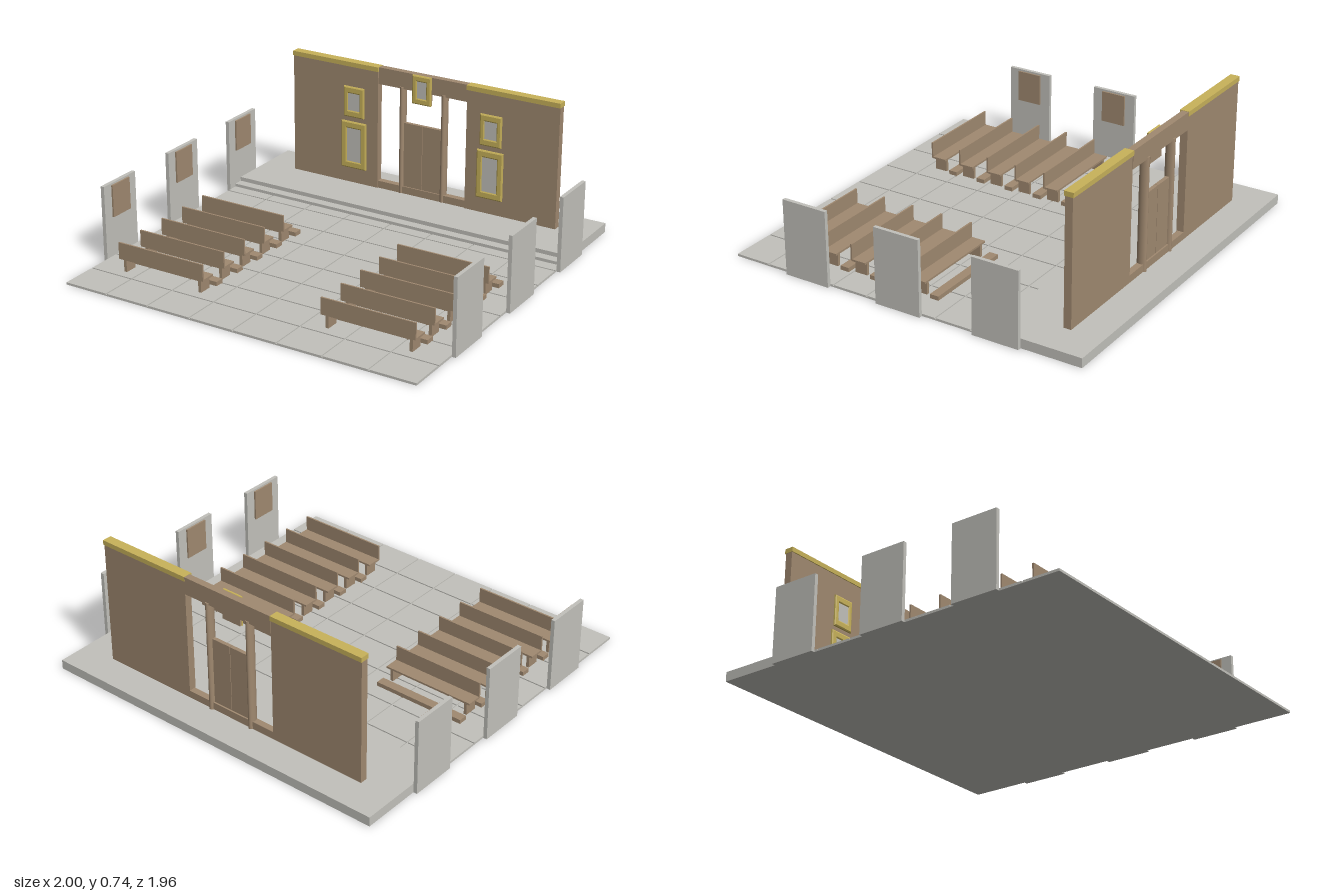
import * as THREE from 'three';

const stone = new THREE.MeshStandardMaterial({ color: 0xc2c1bb });
stone.name = 'pale stone';
const wood = new THREE.MeshStandardMaterial({ color: 0xa08970 });
wood.name = 'brown wood';
const gold = new THREE.MeshStandardMaterial({ color: 0xc8b25a });
gold.name = 'gold trim';

// Box given by its min and max corners
function box(parent, name, mat, x0, x1, y0, y1, z0, z1) {
  const mesh = new THREE.Mesh(new THREE.BoxGeometry(x1 - x0, y1 - y0, z1 - z0), mat);
  mesh.position.set((x0 + x1) / 2, (y0 + y1) / 2, (z0 + z1) / 2);
  mesh.name = name;
  parent.add(mesh);
  return mesh;
}

function group(parent, name) {
  const g = new THREE.Group();
  g.name = name;
  parent.add(g);
  return g;
}

function rectPath(Type, w, h) {
  const p = new Type();
  p.moveTo(-w / 2, -h / 2);
  p.lineTo(w / 2, -h / 2);
  p.lineTo(w / 2, h / 2);
  p.lineTo(-w / 2, h / 2);
  p.closePath();
  return p;
}

// Bevelled gold frame around a pale picture
function picture(parent, name, x, y, w, h, pw, ph, z) {
  const g = group(parent, name);
  const bevel = 0.006;
  const shape = rectPath(THREE.Shape, w - 2 * bevel, h - 2 * bevel);
  shape.holes.push(rectPath(THREE.Path, pw + 2 * bevel, ph + 2 * bevel));
  const geo = new THREE.ExtrudeGeometry(shape, {
    depth: 0.008, bevelEnabled: true, bevelThickness: 0.004, bevelSize: bevel, bevelSegments: 1,
  });
  const frame = new THREE.Mesh(geo, gold);
  frame.name = 'pictureFrame';
  g.add(frame);
  box(g, 'picturePanel', stone, -pw / 2 - 0.004, pw / 2 + 0.004, -ph / 2 - 0.004, ph / 2 + 0.004, 0, 0.008);
  g.position.set(x, y, z);
}

// Tiled floor, step and raised platform
function buildFloor(root) {
  const g = group(root, 'floor');
  box(g, 'floorSlab', stone, -0.98, 0.98, 0, 0.006, -0.5, 0.98);
  const px = 0.245, pz = 0.196, gap = 0.004;
  for (let i = 0; i < 8; i++) {
    for (let j = 0; j < 8; j++) {
      const x = -0.98 + i * px, z = 0.98 - j * pz;
      box(g, 'floorTile', stone, x + (i ? gap : 0), x + px - (i < 7 ? gap : 0), 0.006, 0.012,
        Math.max(z - pz + gap, -0.5), z - (j ? gap : 0));
    }
  }
  box(g, 'platformStep', stone, -0.98, 0.98, 0, 0.028, -0.52, -0.46);
  box(g, 'platform', stone, -0.98, 0.98, 0, 0.05, -0.98, -0.51);
}

// Bench with back board, two legs and a low kneeler in front
function bench(root, x, z) {
  const g = group(root, 'bench');
  const w = 0.2525;
  box(g, 'benchSeat', wood, -w, w, 0.078, 0.088, -0.04, 0.036);
  box(g, 'benchBack', wood, -w, w, 0.08, 0.168, 0.036, 0.045);
  for (const s of [-1, 1]) {
    box(g, 'benchLeg', wood, s * 0.224 - 0.008, s * 0.224 + 0.008, 0.006, 0.078, -0.035, 0.034);
  }
  box(g, 'kneeler', wood, -w, w, 0.008, 0.034, -0.114, -0.066);
  g.position.set(x, 0, z);
}

// Free-standing side wall with a framed wooden plaque on its inner face
function sidePanel(root, s, z) {
  const g = group(root, 'sidePanel');
  box(g, 'sideWall', stone, -0.01, 0.01, 0, 0.4, -0.125, 0.125);
  const plaque = group(g, 'wallPlaque');
  const xa = -s * 0.0145;
  box(plaque, 'plaqueBoard', wood, xa - 0.0045, xa + 0.0045, 0.22, 0.39, -0.068, 0.068);
  g.position.set(s * 0.99, 0, z);
}

// Screen wall with side openings, double door and pictures
function buildScreen(root) {
  const g = group(root, 'screen');
  for (const s of [-1, 1]) {
    const c = s * 0.53;
    box(g, 'screenWall', wood, c - 0.264, c + 0.264, 0.05, 0.712, -0.81, -0.77);
    box(g, 'screenCap', gold, c - 0.266, c + 0.266, 0.71, 0.735, -0.815, -0.765);
    box(g, 'doorLeaf', wood, s * 0.057 - 0.0555, s * 0.057 + 0.0555, 0.05, 0.45, -0.802, -0.782);

    const column = new THREE.Mesh(new THREE.CylinderGeometry(0.016, 0.016, 0.6, 20), wood);
    column.scale.z = 1.6;
    column.position.set(s * 0.125, 0.35, -0.795);
    column.name = 'doorColumn';
    g.add(column);

    picture(g, 'largePicture', s * 0.411, 0.268, 0.152, 0.265, 0.086, 0.19, -0.77);
    picture(g, 'smallPicture', s * 0.411, 0.513, 0.124, 0.17, 0.07, 0.097, -0.77);
  }
  box(g, 'screenSill', wood, -0.268, 0.268, 0.05, 0.09, -0.81, -0.775);
  box(g, 'screenLintel', wood, -0.268, 0.268, 0.64, 0.733, -0.813, -0.777);
  box(g, 'pictureBacking', wood, -0.054, 0.054, 0.578, 0.64, -0.785, -0.774);
  picture(g, 'centrePicture', 0, 0.655, 0.112, 0.158, 0.055, 0.092, -0.774);
}

export function createModel() {
  const root = new THREE.Group();
  root.name = 'hallInterior';
  buildFloor(root);
  buildScreen(root);
  for (const s of [-1, 1]) {
    for (let i = 0; i < 5; i++) bench(root, s * 0.586, i * 0.1745);
    for (const z of [0.535, 0.005, -0.535]) sidePanel(root, s, z);
  }
  return root;
}
